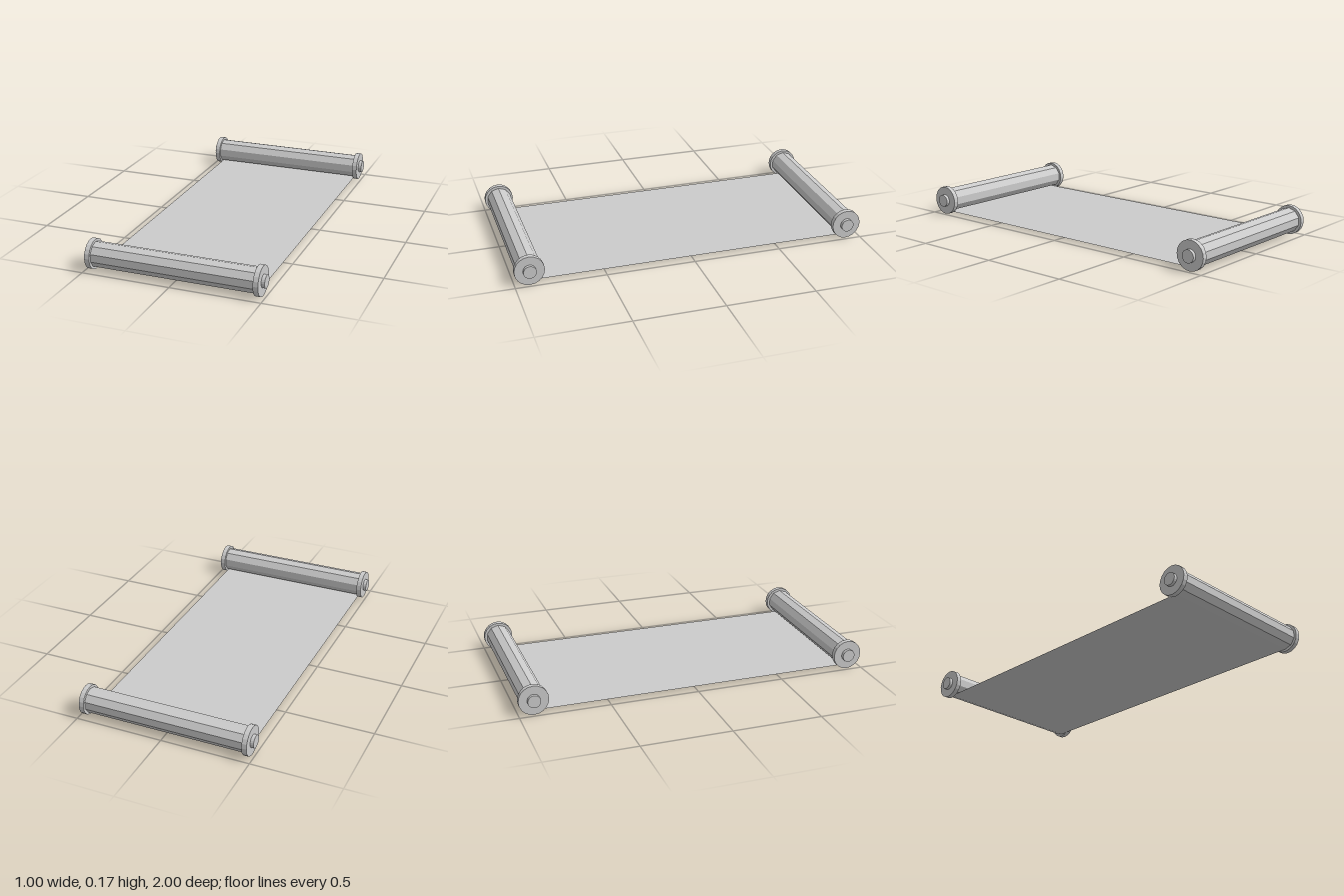
import * as THREE from 'three';

const material = new THREE.MeshStandardMaterial({ color: 0xcccccc, flatShading: true });
const sheetMaterial = new THREE.MeshStandardMaterial({ color: 0xcccccc, side: THREE.DoubleSide });

const AXIS_Y = 0.083;     // roller axis height, equal to the flange radius
const AXIS_Z = 0.917;     // roller distance from the centre
const ROLL_RADIUS = 0.07;
const HALF_WIDTH = 0.455; // half width of sheet and rolls

// Faceted cylinder lying along x, with one corner pointing straight up
function barrel(name, radius, x0, x1, sides) {
  const geometry = new THREE.CylinderGeometry(radius, radius, x1 - x0, sides, 1, false, Math.PI / 2);
  geometry.rotateZ(Math.PI / 2);
  const mesh = new THREE.Mesh(geometry, material);
  mesh.name = name;
  mesh.position.x = (x0 + x1) / 2;
  return mesh;
}

// Roll with a flange and a small knob at each end
function createRoller(name, z) {
  const roller = new THREE.Group();
  roller.name = name;
  roller.position.set(0, AXIS_Y, z);
  roller.add(barrel('roll', ROLL_RADIUS, -HALF_WIDTH, HALF_WIDTH, 10));
  for (const [side, s] of [['left', 1], ['right', -1]]) {
    const flange = barrel(side + 'Flange', AXIS_Y, HALF_WIDTH, 0.483, 20);
    const knob = barrel(side + 'Knob', 0.036, 0.483, 0.502, 20);
    for (const part of [flange, knob]) {
      part.position.x *= s;
      roller.add(part);
    }
  }
  return roller;
}

export function createModel() {
  const model = new THREE.Group();
  model.name = 'scroll';
  model.add(createRoller('frontRoller', AXIS_Z), createRoller('backRoller', -AXIS_Z));

  // Unrolled sheet, tangent to the underside of both rolls
  const sheetGeometry = new THREE.PlaneGeometry(2 * HALF_WIDTH, 2 * AXIS_Z);
  sheetGeometry.rotateX(-Math.PI / 2);
  const sheet = new THREE.Mesh(sheetGeometry, sheetMaterial);
  sheet.name = 'sheet';
  sheet.position.y = AXIS_Y - ROLL_RADIUS;
  model.add(sheet);
  return model;
}
